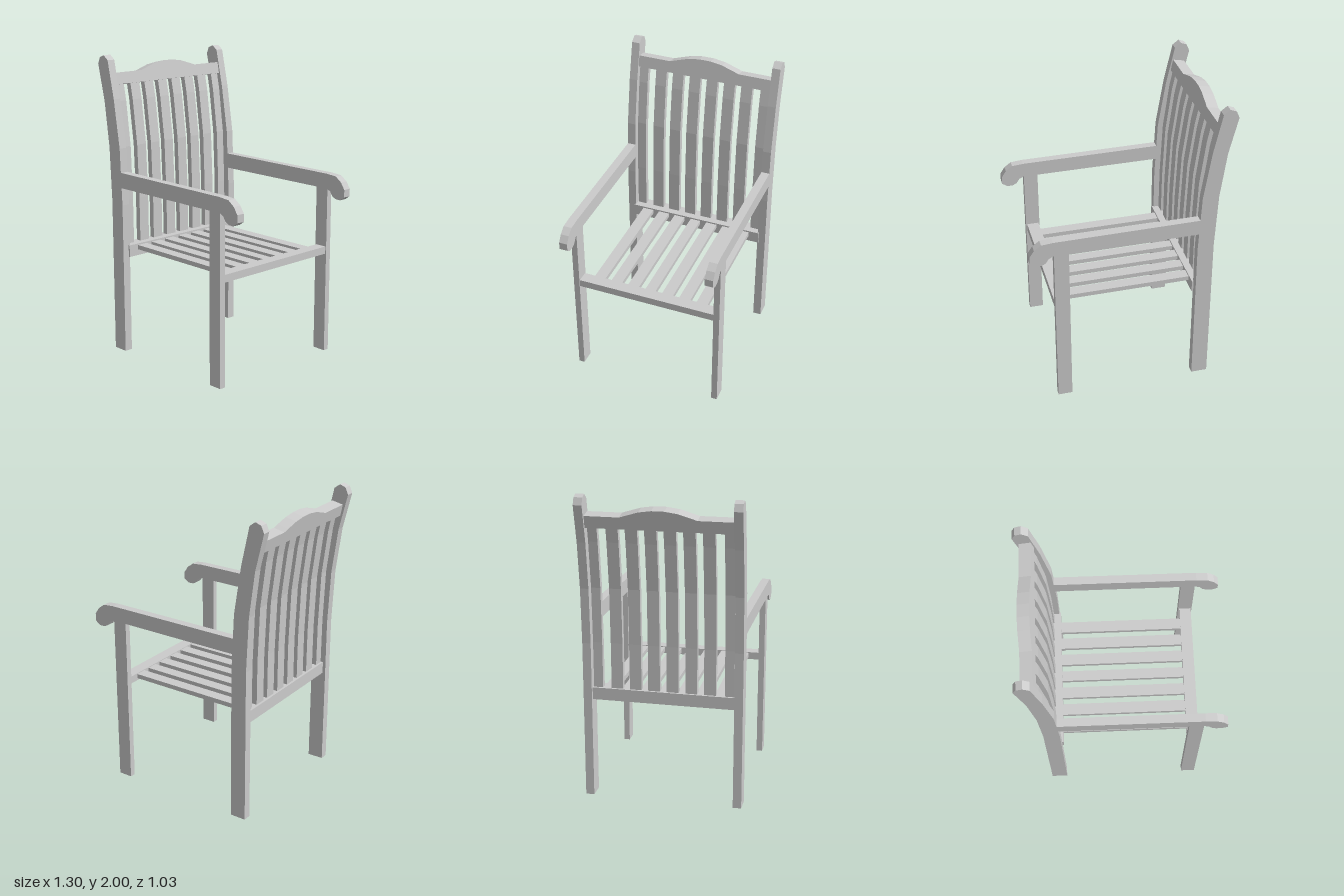
import * as THREE from 'three';

const mat = new THREE.MeshStandardMaterial({ color: 0xcccccc, flatShading: true });

// Extrude an x-y outline along z, centred on z
function plank(name, points, width, z) {
  const shape = new THREE.Shape(points.map(([x, y]) => new THREE.Vector2(x, y)));
  const geo = new THREE.ExtrudeGeometry(shape, { depth: width, bevelEnabled: false });
  geo.translate(0, 0, z - width / 2);
  const mesh = new THREE.Mesh(geo, mat);
  mesh.name = name;
  return mesh;
}

// Box given by its min and max on each axis
function box(name, x0, x1, y0, y1, z0, z1) {
  const mesh = new THREE.Mesh(new THREE.BoxGeometry(x1 - x0, y1 - y0, z1 - z0), mat);
  mesh.position.set((x0 + x1) / 2, (y0 + y1) / 2, (z0 + z1) / 2);
  mesh.name = name;
  return mesh;
}

export function createModel() {
  const chair = new THREE.Group();
  chair.name = 'gardenArmchair';

  // Curved rear post with a rounded tip
  const post = [
    [-0.54, 0], [-0.433, 0], [-0.433, 1.02], [-0.45, 1.4], [-0.5, 1.72], [-0.555, 1.97],
    [-0.595, 2], [-0.635, 1.985], [-0.655, 1.94], [-0.597, 1.7], [-0.557, 1.4], [-0.54, 1.04],
  ];
  // Armrest with a drooping, scrolled end
  const arm = [
    [-0.445, 1.137], [0.5, 1.135], [0.53, 1.12], [0.55, 1.09], [0.575, 1.077], [0.615, 1.075],
    [0.65, 1.1], [0.65, 1.15], [0.62, 1.195], [0.575, 1.228], [0.5, 1.235], [-0.445, 1.24],
  ];
  for (const s of [-1, 1]) {
    chair.add(plank('rearPost', post, 0.055, s * 0.4875));
    chair.add(plank('armrest', arm, 0.055, s * 0.4875));
    chair.add(box('frontLeg', 0.402, 0.497, 0, 1.137, s * 0.49 - 0.02, s * 0.49 + 0.02));
  }

  // Seat rails and slats
  chair.add(box('frontSeatRail', 0.41, 0.49, 0.685, 0.735, -0.47, 0.47));
  chair.add(box('rearSeatRail', -0.52, -0.422, 0.66, 0.74, -0.47, 0.47));
  for (let i = -3; i <= 3; i++) {
    const z = i * 0.12, half = i === 0 ? 0.035 : 0.038;
    chair.add(box('seatSlat', -0.43, 0.415, 0.7, 0.73, z - half, z + half));
  }

  // Curved back slats, the outer pair narrower
  const front = [[-0.468, 0.72], [-0.47, 1.04], [-0.484, 1.4], [-0.522, 1.7], [-0.548, 1.83]];
  const slat = [...front, ...front.map(([x, y]) => [x - 0.037, y]).reverse()];
  for (const s of [-1, 1]) {
    for (const z of [0.06, 0.18, 0.3]) chair.add(plank('backSlat', slat, 0.076, s * z));
    chair.add(plank('backSlat', slat, 0.06, s * 0.424));
  }

  // Leaning crest rail with a raised middle; outline in z (across) and height
  const half = [[0.465, 0.077], [0.24, 0.077], [0.2, 0.09], [0.12, 0.115], [0.04, 0.127]];
  const crest = [[-0.465, 0], [0.465, 0], ...half, ...half.map(([z, h]) => [-z, h]).reverse()];
  const rail = plank('crestRail', crest, 0.077, -0.0385);
  rail.rotation.set(0, Math.PI / 2, 0);
  const lean = new THREE.Group();
  lean.name = 'crest';
  lean.add(rail);
  lean.position.set(-0.53, 1.81, 0);
  lean.rotation.z = 0.2;
  chair.add(lean);

  return chair;
}
